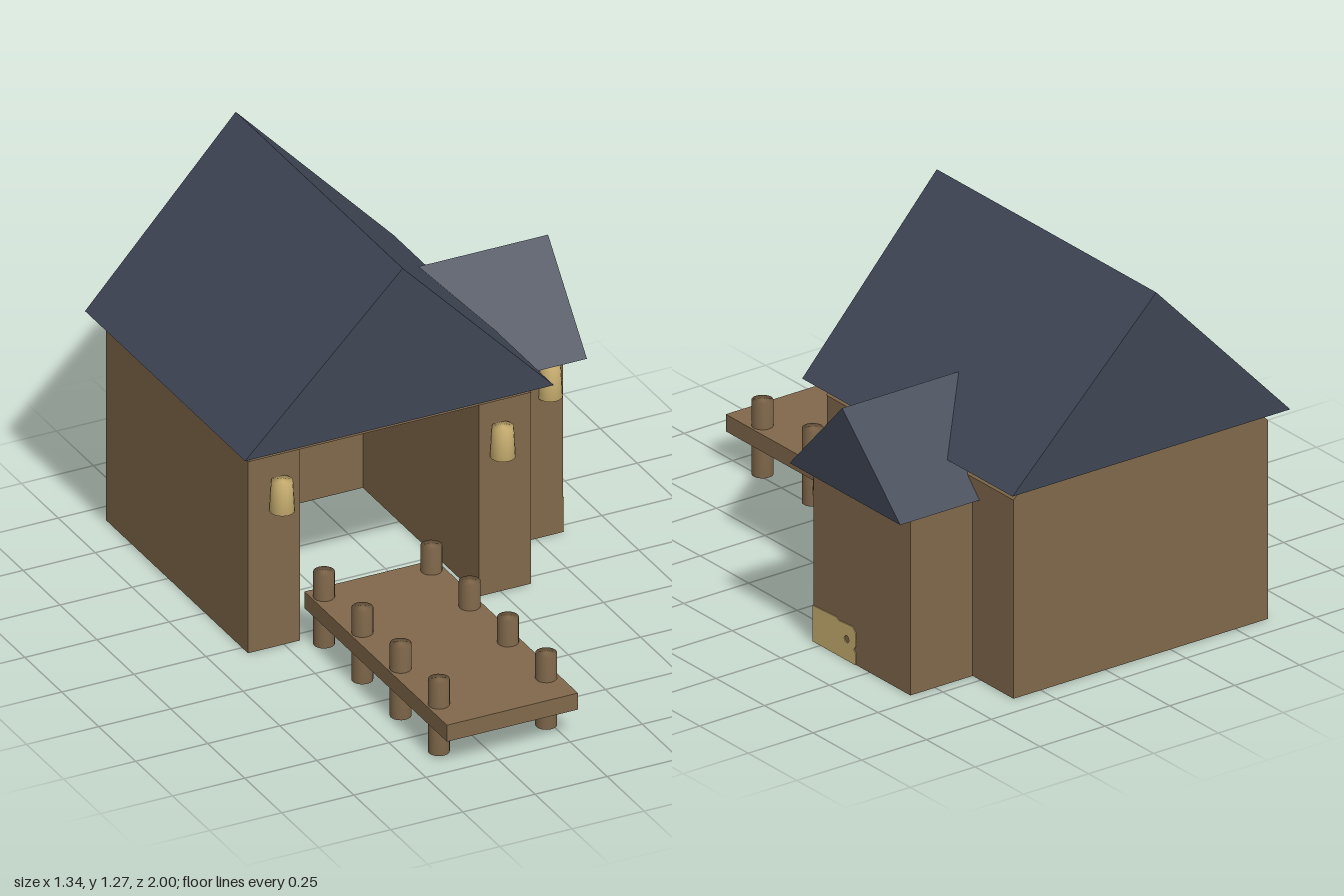
import * as THREE from 'three';
import { mergeVertices } from 'three/addons/utils/BufferGeometryUtils.js';

export function createModel() {
  const house = new THREE.Group();
  house.name = 'boathouse';
  const mat = (name, color) => new THREE.MeshStandardMaterial({ name, color });
  const wood = mat('brown wood', 0x80684b);
  const slate = mat('dark slate', 0x404656);
  const tan = mat('pale tan', 0xcbb172);

  const add = (name, geometry, material, parent = house) => {
    const mesh = new THREE.Mesh(geometry, material);
    mesh.name = name;
    parent.add(mesh);
    return mesh;
  };
  const shapeOf = (points) => new THREE.Shape(points.map(([x, y]) => new THREE.Vector2(x, y)));
  // Prism with its outline in x-y, running from z0 to z1
  const prism = (points, z0, z1) =>
    new THREE.ExtrudeGeometry(shapeOf(points), { depth: z1 - z0, bevelEnabled: false }).translate(0, 0, z0);
  // Box given by its limits
  const box = (x0, x1, y0, y1, z0, z1) =>
    new THREE.BoxGeometry(x1 - x0, y1 - y0, z1 - z0).translate((x0 + x1) / 2, (y0 + y1) / 2, (z0 + z1) / 2);
  // Round part with normals blended over its rims
  const softRound = (rTop, rBottom, h) => {
    const g = new THREE.CylinderGeometry(rTop, rBottom, h, 16);
    g.deleteAttribute('normal');
    g.deleteAttribute('uv');
    const merged = mergeVertices(g);
    merged.computeVertexNormals();
    return merged;
  };
  // Gable roof along z whose ends lean outward by `lean` toward the ridge
  const gableRoof = (half, eave, ridge, z0, z1, lean0, lean1) => {
    const g = prism([[-half, eave], [half, eave], [0, ridge]], z0, z1);
    const p = g.attributes.position;
    const mid = (z0 + z1) / 2;
    for (let i = 0; i < p.count; i++) {
      const t = (p.getY(i) - eave) / (ridge - eave);
      p.setZ(i, p.getZ(i) + t * (p.getZ(i) > mid ? lean1 : -lean0));
    }
    g.computeVertexNormals();
    return g;
  };

  // U-shaped walls, open to the front for the boat
  const walls = prism([
    [-0.625, -0.04], [-0.445, -0.04], [-0.445, 0.745], [0.175, 0.745],
    [0.175, -0.04], [0.355, -0.04], [0.355, 0.92], [-0.625, 0.92],
  ], 0, 0.675);
  walls.rotateX(-Math.PI / 2);
  add('walls', walls, wood);

  // Sloped wall head and ceiling, tucked into the roof
  add('wallHead', prism([[-0.625, 0.675], [0.355, 0.675], [0.29, 0.74], [-0.56, 0.74]], -0.92, 0.045), wood);

  // Main roof
  const mainRoof = add('mainRoof', gableRoof(0.535, 0.72, 1.275, -0.975, 0.108, 0.025, 0.022), slate);
  mainRoof.position.x = -0.135;

  // Side annex and its roof
  add('annexWalls', box(0.18, 0.595, 0, 0.63, -0.71, -0.21), wood);
  const annexRoof = add('annexRoof', gableRoof(0.285, 0.61, 0.905, 0.165, 0.66, 0, 0.011), slate);
  annexRoof.rotation.y = Math.PI / 2;
  annexRoof.position.z = -0.46;

  // Pale patch low on the annex side, with a small hole
  const patch = shapeOf([[0.21, 0], [0.43, 0], [0.43, 0.04], [0.422, 0.05], [0.432, 0.065],
    [0.43, 0.11], [0.415, 0.125], [0.345, 0.12], [0.33, 0.127], [0.21, 0.122]]);
  const hole = new THREE.Path();
  hole.absarc(0.385, 0.072, 0.012, 0, Math.PI * 2, true);
  patch.holes.push(hole);
  const patchMesh = add('sidePatch',
    new THREE.ExtrudeGeometry(patch, { depth: 0.004, bevelEnabled: false }), tan);
  patchMesh.rotation.y = Math.PI / 2;
  patchMesh.position.x = 0.594;

  // Wall lanterns
  for (const [x, z] of [[-0.52, 0.066], [0.245, 0.066], [0.55, -0.211]]) {
    add('lantern', softRound(0.034, 0.04, 0.105), tan).position.set(x, 0.542, z);
  }

  // Jetty with two rows of posts
  const jetty = new THREE.Group();
  jetty.name = 'jetty';
  house.add(jetty);
  add('deck', box(-0.427, 0.027, 0.107, 0.165, 0.035, 1), wood, jetty);
  for (const x of [-0.387, -0.015]) {
    for (let i = 0; i < 4; i++) {
      add('post', softRound(0.034, 0.034, 0.253), wood, jetty).position.set(x, 0.1265, 0.09 + i * 0.259);
    }
  }
  return house;
}
